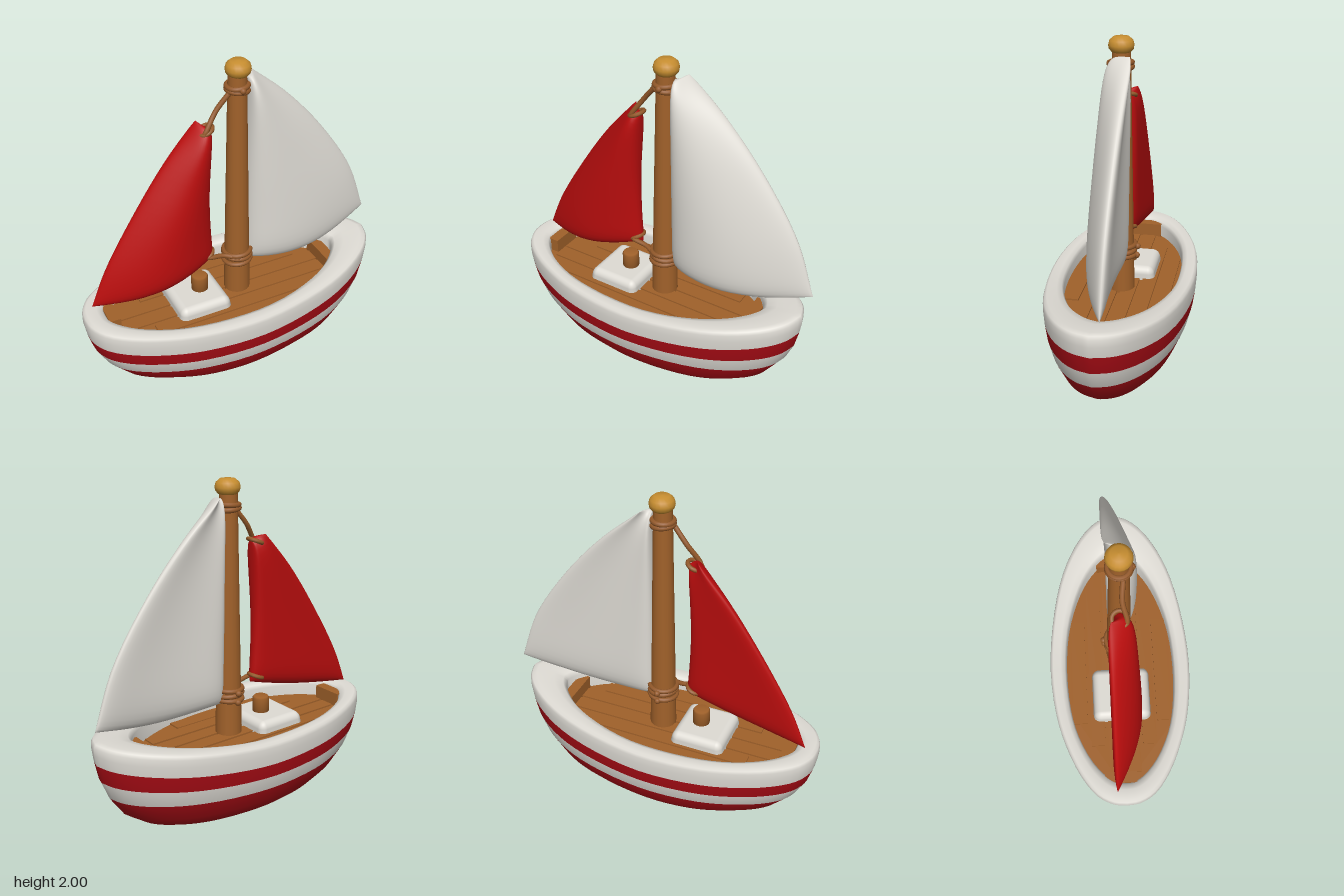
import * as THREE from 'three';
import { mergeVertices } from 'three/addons/utils/BufferGeometryUtils.js';
import { RoundedBoxGeometry } from 'three/addons/geometries/RoundedBoxGeometry.js';
import { ParametricGeometry } from 'three/addons/geometries/ParametricGeometry.js';

const mat = (name, color) => {
  const m = new THREE.MeshStandardMaterial({ color });
  m.name = name;
  return m;
};

const V = (x, y, z) => new THREE.Vector3(x, y, z);

// Closed, smoothly shaded surface from fn(u, v, target)
function skin(fn, nu, nv) {
  const g = new ParametricGeometry(fn, nu, nv);
  g.deleteAttribute('uv');
  g.deleteAttribute('normal');
  const merged = mergeVertices(g, 1e-4);
  merged.computeVertexNormals();
  return merged;
}

// Half plan outlines, stern to bow: [x, z]
const planCurve = (pts) => new THREE.CatmullRomCurve3(pts.map(([x, z]) => V(x, 0, z)));
const outer = planCurve([[-0.995, 0], [-0.985, 0.08], [-0.93, 0.18], [-0.8, 0.28], [-0.6, 0.37], [-0.4, 0.425],
  [-0.1, 0.455], [0.2, 0.435], [0.5, 0.375], [0.7, 0.295], [0.85, 0.195], [0.93, 0.1], [0.965, 0]]);
const inner = planCurve([[-0.86, 0], [-0.855, 0.05], [-0.82, 0.11], [-0.72, 0.2], [-0.55, 0.285], [-0.37, 0.33],
  [-0.1, 0.35], [0.17, 0.33], [0.4, 0.265], [0.55, 0.19], [0.64, 0.115], [0.69, 0.05], [0.71, 0]]);

// Hull rings: [mix outer to inner, scale, height, share of the sheer]
const rings = [
  [0, 0, 0, 0], [0, 0.57, 0, 0], [0, 0.64, 0.008, 0], [0, 0.71, 0.035, 0], [0, 0.82, 0.1, 0.15], [0, 0.915, 0.2, 0.5],
  [0, 0.965, 0.29, 0.75],
  [0, 0.99, 0.375, 1],
  [0, 1, 0.44, 1], [0, 1, 0.485, 1], [0.05, 1, 0.505, 1], [0.18, 1, 0.516, 1], [0.65, 1, 0.516, 1],
  [0.9, 1, 0.505, 1], [1, 1, 0.48, 1], [1, 1, 0.39, 0],
];
const sheer = (x) => (x > 0 ? 0.1 * Math.pow(x / 0.96, 1.5) : 0.022 * x * x);

function hullGeometry() {
  const n = rings.length - 1, around = 72;
  const g = skin((u, v, p) => {
    const [mix, scale, y, share] = rings[Math.min(n, Math.max(0, Math.round(v * n)))];
    const a = Math.min(1, Math.max(0, u < 0.5 ? 2 * u : 2 - 2 * u));
    p.copy(outer.getPoint(a)).lerp(inner.getPoint(a), mix).multiplyScalar(scale);
    p.y = y + sheer(p.x) * share;
    if (u > 0.5) p.z = -p.z;
  }, around, n);
  // Painted bands: red bottom, white, red stripe, white gunwale
  [[0, 5, 0], [5, 6, 1], [6, 7, 0], [7, n, 1]].forEach(([a, b, m]) => g.addGroup(a * around * 6, (b - a) * around * 6, m));
  return g;
}

// Padded sail between two edge curves; front and back give z across the chord
function sailGeometry(left, right, sag, front, back) {
  const soft = (t) => Math.pow(Math.max(0, 1 - Math.pow(Math.abs(2 * t - 1), 9)), 1 / 2.2);
  return skin((U, W, p) => {
    const c = (1 - Math.cos(2 * Math.PI * U)) / 2;
    const v = (1 - Math.cos(Math.PI * W)) / 2;
    p.copy(left.getPoint(v)).lerp(right.getPoint(v), c);
    p.y -= sag * Math.sin(Math.PI * c) * Math.pow(1 - v, 3);
    const f = front(c, v), b = back(c, v);
    const half = ((f - b) / 2) * soft(c) * soft(v);
    p.z = (f + b) / 2 + (U <= 0.5 ? half : -half);
  }, 48, 28);
}

const curve = (pts) => new THREE.CatmullRomCurve3(pts.map(([x, y, z = 0]) => V(x, y, z)));

export function createModel() {
  const model = new THREE.Group();
  model.name = 'sailboat';
  const hullRed = mat('hull red', 0xa50b14);
  const sailRed = mat('sail red', 0xb80d0d);
  const white = mat('off white', 0xdedbd4);
  const wood = mat('wood brown', 0xa0612a);
  const ropeMat = mat('rope brown', 0x93592a);
  const gold = mat('gold', 0xc68d30);

  const add = (name, geometry, material, x = 0, y = 0, z = 0) => {
    const m = new THREE.Mesh(geometry, material);
    m.name = name;
    m.position.set(x, y, z);
    model.add(m);
    return m;
  };

  add('hull', hullGeometry(), [hullRed, white]);

  // Deck with a few slightly raised planks
  const half = inner.getPoints(40).map((p) => new THREE.Vector2(p.x * 1.02, p.z * 1.02));
  const mirrored = half.slice(1, -1).reverse().map((p) => new THREE.Vector2(p.x, -p.y));
  const deck = new THREE.ShapeGeometry(new THREE.Shape([...half, ...mirrored]));
  add('deck', deck.rotateX(-Math.PI / 2), wood, 0, 0.42, 0);
  [[-0.27, 0.7, -0.1], [-0.16, 1.1, -0.05], [-0.05, 1.4, -0.08], [0.06, 1.4, -0.08], [0.17, 1.1, -0.05], [0.27, 0.7, -0.1]]
    .forEach(([z, length, x]) => add('deckPlank', new THREE.BoxGeometry(length, 0.016, 0.09), wood, x, 0.422, z));
  add('sternBlock', new THREE.BoxGeometry(0.07, 0.1, 0.2), wood, -0.825, 0.46, -0.03);
  add('bowBlock', new THREE.BoxGeometry(0.07, 0.1, 0.25), wood, 0.65, 0.46, 0);

  // Cabin, narrower at the top, with its funnel
  const cabin = new RoundedBoxGeometry(0.36, 0.13, 0.39, 4, 0.045);
  const pos = cabin.attributes.position;
  for (let i = 0; i < pos.count; i++) {
    const k = 0.95 - pos.getY(i) * 0.8;
    pos.setX(i, pos.getX(i) * k);
    pos.setZ(i, pos.getZ(i) * k);
  }
  add('cabin', cabin, white, -0.27, 0.435, 0);
  const funnel = [[0, 0], [0.053, 0], [0.053, 0.12], [0.045, 0.13], [0, 0.13]].map(([x, y]) => new THREE.Vector2(x, y));
  add('funnel', new THREE.LatheGeometry(funnel, 20), wood, -0.24, 0.47, 0);

  // Mast and its cap
  add('mast', new THREE.CylinderGeometry(0.054, 0.083, 1.52, 16), wood, 0.02, 1.17, 0);
  const cap = [[0, 0], [0.055, 0], [0.071, 0.018], [0.075, 0.04], [0.068, 0.066], [0.045, 0.086], [0, 0.09]];
  add('mastCap', new THREE.LatheGeometry(cap.map(([x, y]) => new THREE.Vector2(x, y)), 20), gold, 0.025, 1.91, 0);

  // Rope wraps around the mast, each slightly tilted, and their knots
  [[1.85, 0.062, 0.06], [1.825, 0.063, -0.08], [0.72, 0.084, 0.04], [0.69, 0.084, -0.06], [0.655, 0.085, 0.05]]
    .forEach(([y, r, tilt]) => {
      const wrap = add('ropeWrap', new THREE.TorusGeometry(r, 0.015, 8, 28), ropeMat, 0.02, y, 0);
      wrap.rotation.set(Math.PI / 2, tilt, 0);
    });
  [[1.84, 0.068], [0.71, -0.1], [0.65, -0.095]].forEach(([y, z]) =>
    add('knot', new THREE.SphereGeometry(0.02, 10, 8), ropeMat, 0.02, y, z));

  // Ropes from the mast to the small sail
  const tube = (pts) => new THREE.TubeGeometry(curve(pts), 16, 0.015, 8);
  add('upperRope', tube([[-0.03, 1.83, 0.02], [-0.12, 1.72, 0.01], [-0.2, 1.6, 0.03], [-0.2, 1.58, -0.02]]), ropeMat);
  add('lowerRope', tube([[0, 0.7, 0.08], [-0.09, 0.725, 0.04], [-0.2, 0.745, 0.035], [-0.215, 0.75, -0.03]]), ropeMat);
  [[-0.198, 1.61], [-0.21, 0.75]].forEach(([x, y]) => {
    const loop = add('ropeLoop', new THREE.TorusGeometry(0.045, 0.013, 8, 20), ropeMat, x + 0.02, y, -0.005);
    loop.rotation.set(Math.PI / 2, 0.4, 0);
  });

  // Main sail: nearly flat behind, bulging forward
  add('mainSail', sailGeometry(
    curve([[0.08, 0.635], [0.075, 1.2], [0.08, 1.89]]),
    curve([[0.99, 0.715], [0.86, 1.06], [0.62, 1.42], [0.37, 1.7], [0.13, 1.905]]),
    0.055,
    (c, v) => 0.06 - 0.095 * c + 0.105 * Math.sin(Math.PI * Math.pow(c, 0.8)) * (1 - 0.5 * v * v),
    (c) => -0.08 - 0.018 * c + 0.025 * Math.sin(Math.PI * c),
  ), white);

  // Small sail, leech to luff
  add('smallSail', sailGeometry(
    curve([[-0.925, 0.56], [-0.82, 0.8], [-0.635, 1.11], [-0.42, 1.42], [-0.215, 1.655]]),
    curve([[-0.145, 0.72], [-0.16, 0.95], [-0.165, 1.2], [-0.145, 1.615]]),
    0.03,
    (c, v) => -0.03 + 0.075 * c + 0.11 * Math.sin(Math.PI * c) * (1 - 0.5 * v * v),
    (c) => -0.08 + 0.025 * c,
  ), sailRed);

  return model;
}
